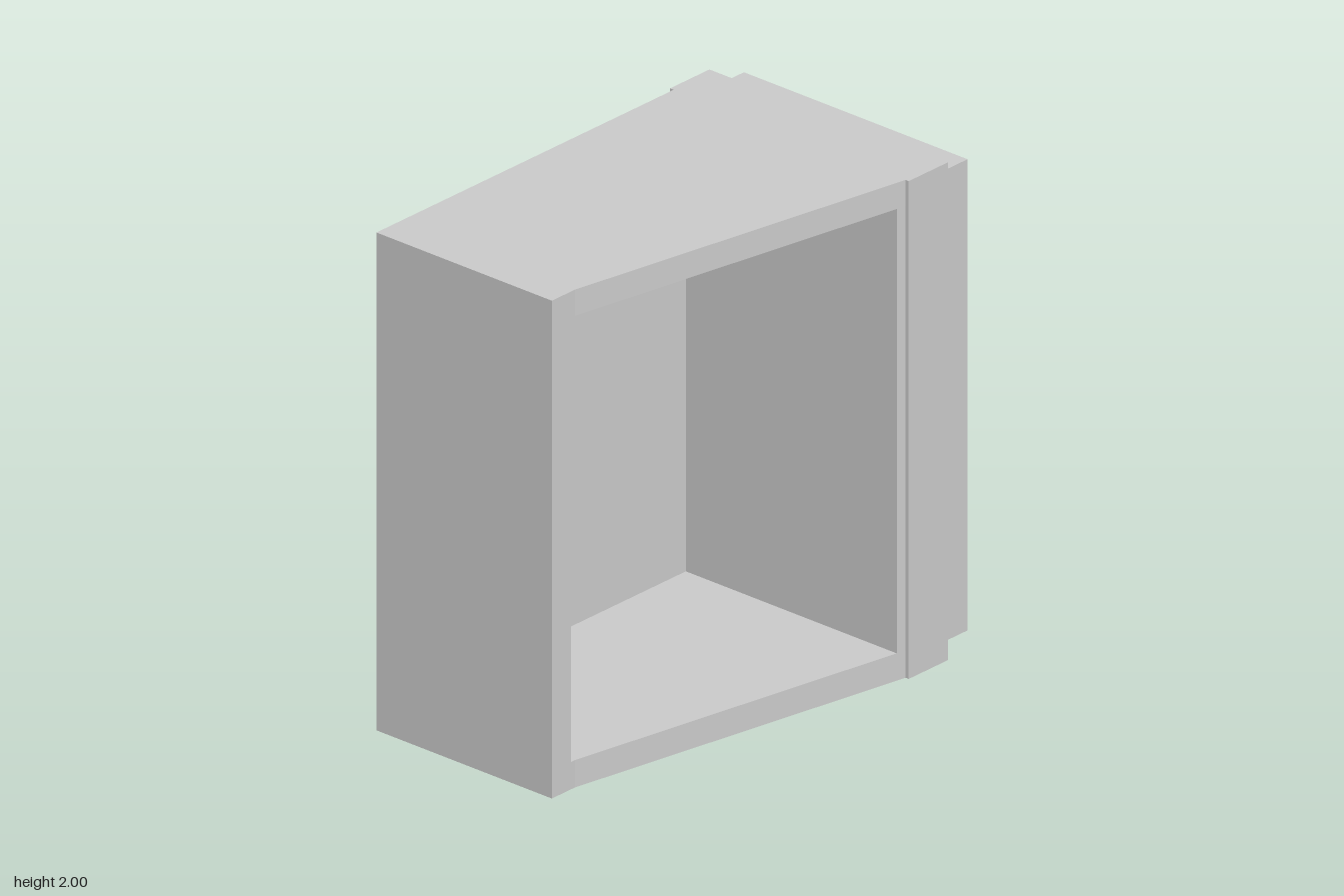
import * as THREE from 'three';

const material = new THREE.MeshStandardMaterial({ color: 0xcccccc, flatShading: true });

function add(group, name, geometry) {
  const mesh = new THREE.Mesh(geometry, material);
  mesh.name = name;
  group.add(mesh);
}

// Extrudes a plan outline of [x, z] points upwards from y0 to y1
function plan(points, y0, y1) {
  const shape = new THREE.Shape(points.map(([x, z]) => new THREE.Vector2(x, -z)));
  return new THREE.ExtrudeGeometry(shape, { depth: y1 - y0, bevelEnabled: false })
    .rotateX(-Math.PI / 2).translate(0, y0, 0);
}

// Box given by its minimum and maximum corners
function box(x0, x1, y0, y1, z0, z1) {
  return new THREE.BoxGeometry(x1 - x0, y1 - y0, z1 - z0)
    .translate((x0 + x1) / 2, (y0 + y1) / 2, (z0 + z1) / 2);
}

export function createModel() {
  const group = new THREE.Group();
  group.name = 'taperedCabinet';

  const left = -0.565, front = 0.985, back = -0.625;
  const floorTop = 0.11, ceilingBottom = 1.895;
  const outline = [[left, front], [0.29, front], [0.29, 0.86], [0.565, back], [left, back]];

  // Tapered floor and ceiling slabs
  add(group, 'floor', plan(outline, 0, floorTop));
  add(group, 'ceiling', plan(outline, ceilingBottom, 2));

  // C-shaped front, side and back walls around the open side
  add(group, 'walls', plan([
    [left, front], [0.29, front], [0.29, 0.88], [-0.47, 0.88],
    [-0.47, -0.585], [0.558, -0.585], [0.565, back], [left, back],
  ], floorTop, ceilingBottom));

  // Wider collar and the inset panel behind it
  add(group, 'collar', box(-0.583, 0.58, 0, 2, -0.838, back));
  add(group, 'backPanel', box(-0.547, 0.543, 0.055, 1.948, -0.985, -0.838));

  return group;
}
